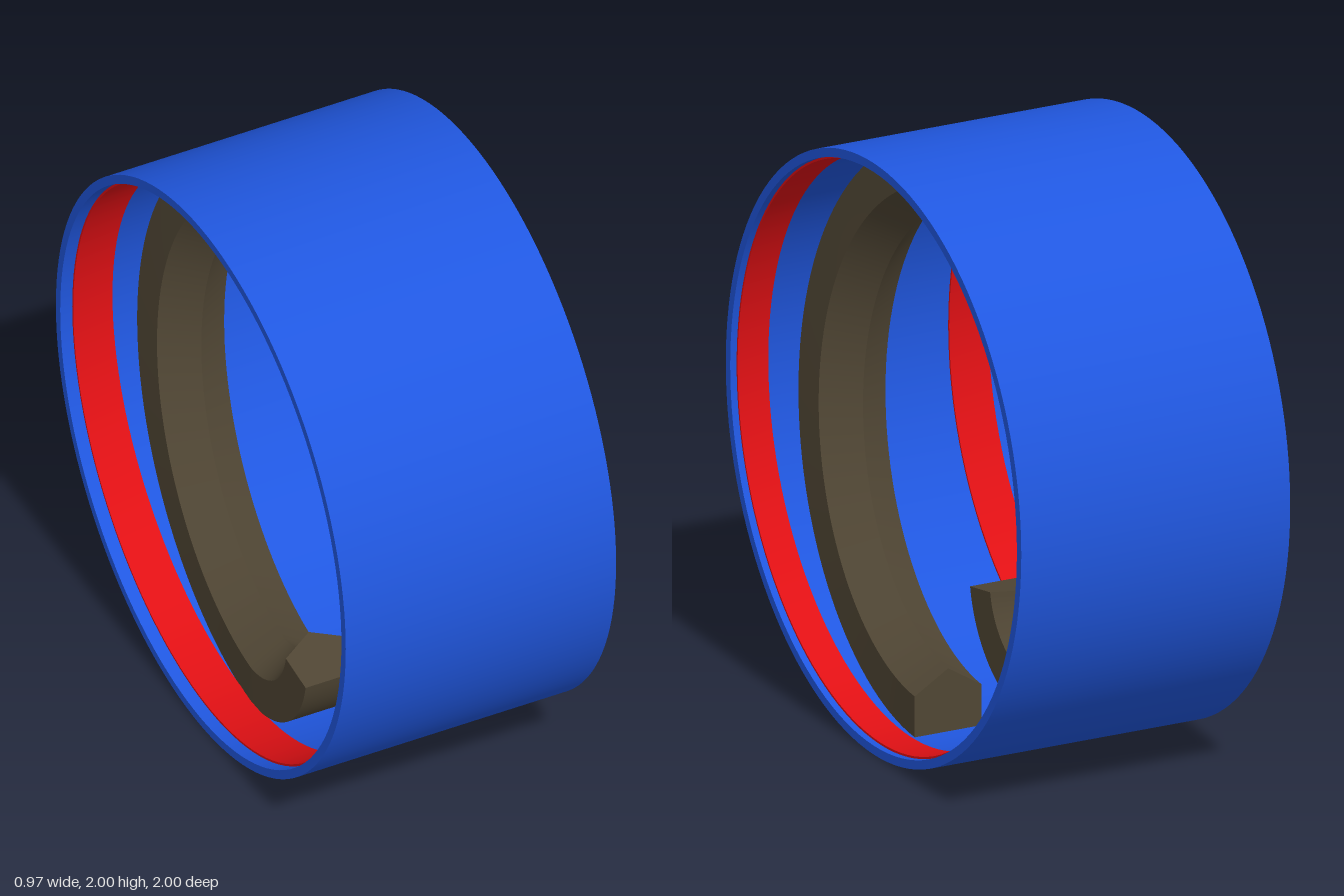
import * as THREE from 'three';
import { toCreasedNormals } from 'three/addons/utils/BufferGeometryUtils.js';

const material = (color) => new THREE.MeshStandardMaterial({ color });
const blue = material(0x2057e0), red = material(0xe01014), brown = material(0x504634);

// Rectangular-section ring around the x axis, from x0 to x1
function ring(name, inner, outer, x0, x1, mat) {
  const corners = [[inner, x0], [outer, x0], [outer, x1], [inner, x1], [inner, x0]];
  const lathe = new THREE.LatheGeometry(corners.map(([r, x]) => new THREE.Vector2(r, x)), 128);
  lathe.rotateZ(-Math.PI / 2);
  const mesh = new THREE.Mesh(toCreasedNormals(lathe, 0.6), mat);
  mesh.name = name;
  mesh.position.y = 1;
  return mesh;
}

// One-turn helical rib with a roof-shaped section; its far end curls inward as a hook
function spiralRib() {
  const half = 0.12, startX = 0.215, pitch = 0.4, turnSteps = 128, hookSteps = 20;
  const hookAngle = THREE.MathUtils.degToRad(80), hookDrop = 0.583;
  const section = [[0.968, -half], [0.968, half], [0.83, half], [0.755, 0], [0.83, -half]];
  const n = section.length, positions = [], index = [];

  // Places the section at an angle measured from the bottom towards +z
  const addStation = (angle, x, drop) => {
    for (const [r, dx] of section) {
      const radius = r - drop;
      positions.push(x + dx, 1 - drop - radius * Math.cos(angle), radius * Math.sin(angle));
    }
  };
  for (let i = 0; i <= turnSteps; i++) {
    const t = i / turnSteps;
    addStation(t * Math.PI * 2, startX - pitch * t, 0);
  }
  for (let i = 1; i <= hookSteps; i++) {
    addStation(hookAngle * i / hookSteps, startX - pitch, hookDrop);
  }

  // Skin between stations
  const last = turnSteps + hookSteps;
  for (let i = 0; i < last; i++) {
    for (let j = 0; j < n; j++) {
      const a = i * n + j, b = i * n + (j + 1) % n;
      index.push(a, b, a + n, b, b + n, a + n);
    }
  }
  // End caps
  for (let j = 1; j < n - 1; j++) {
    index.push(0, j + 1, j);
    index.push(last * n, last * n + j, last * n + j + 1);
  }

  const geometry = new THREE.BufferGeometry();
  geometry.setAttribute('position', new THREE.Float32BufferAttribute(positions, 3));
  geometry.setIndex(index);
  const mesh = new THREE.Mesh(toCreasedNormals(geometry, 0.6), brown);
  mesh.name = 'spiralRib';
  return mesh;
}

export function createModel() {
  const model = new THREE.Group();
  model.name = 'sleeveWithSpiralRib';
  model.add(
    ring('outerSleeve', 0.97, 1, -0.483, 0.483, blue),
    ring('leftBand', 0.963, 0.975, 0.35, 0.46, red),
    ring('rightBand', 0.963, 0.975, -0.44, -0.3, red),
    spiralRib(),
  );
  return model;
}
